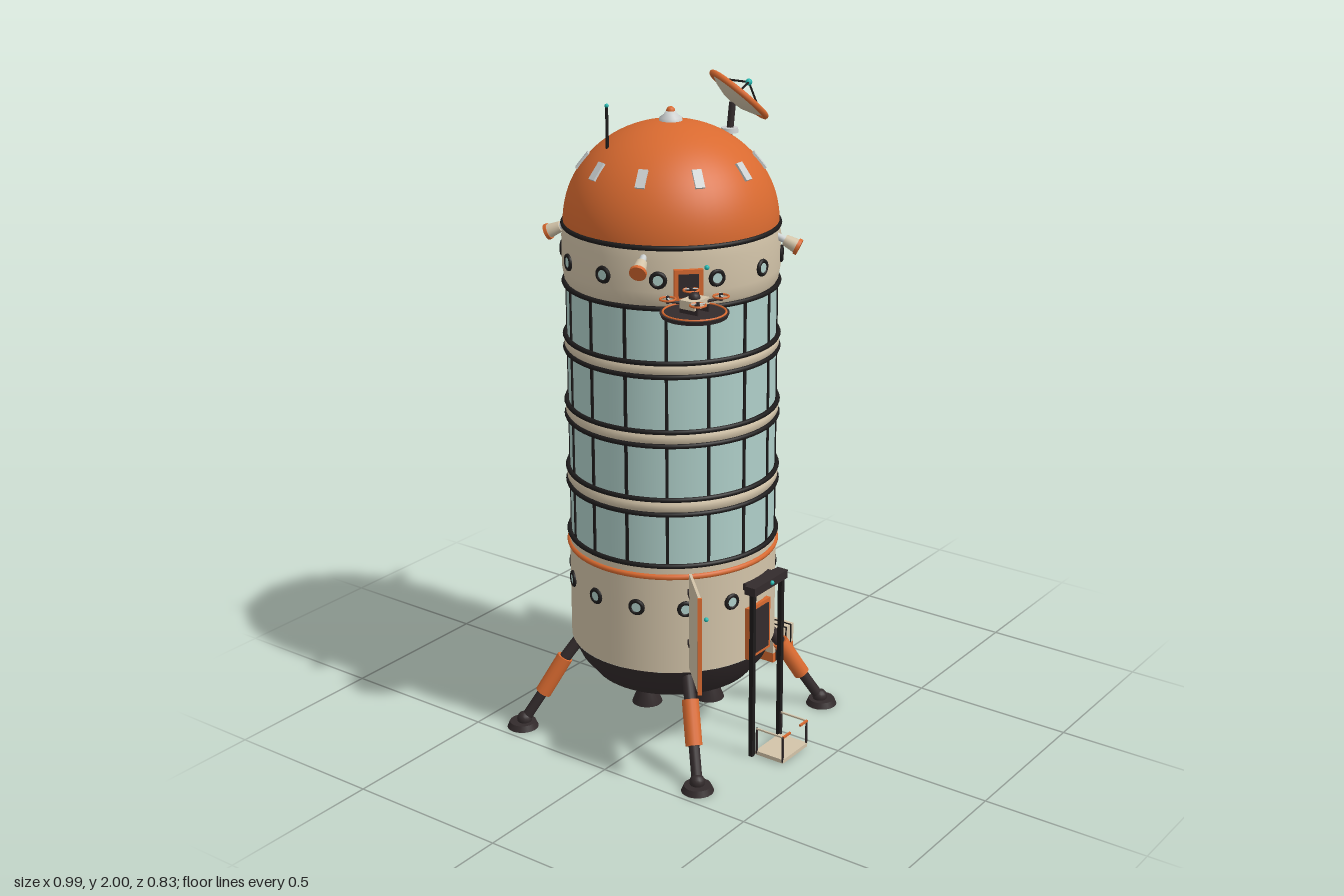
import * as THREE from 'three';

const mat = (name, color, side = THREE.FrontSide) => {
  const m = new THREE.MeshStandardMaterial({ color, side });
  m.name = name;
  return m;
};
const V = (x, y, z) => new THREE.Vector3(x, y, z);

export function createModel() {
  const orange = mat('orange paint', 0xd96a30);
  const cream = mat('cream hull', 0xd3c4a9, THREE.DoubleSide);
  const dark = mat('dark metal', 0x332b2c);
  const black = mat('black trim', 0x1d1b1b);
  const glass = mat('pale glass', 0xafcfc9);
  const grey = mat('light grey', 0xccd0d0);
  const cyan = mat('cyan light', 0x22b8b0);

  const model = new THREE.Group();
  model.name = 'towerBase';
  const group = (parent, name, x = 0, y = 0, z = 0) => {
    const g = new THREE.Group();
    g.name = name;
    g.position.set(x, y, z);
    parent.add(g);
    return g;
  };
  const add = (parent, name, geo, m, x = 0, y = 0, z = 0, rx = 0) => {
    const mesh = new THREE.Mesh(geo, m);
    mesh.name = name;
    mesh.position.set(x, y, z);
    mesh.rotation.x = rx;
    parent.add(mesh);
    return mesh;
  };
  const box = (w, h, d) => new THREE.BoxGeometry(w, h, d);
  const cyl = (r1, r2, h, n = 20) => new THREE.CylinderGeometry(r1, r2, h, n);
  const lathe = (pts, n = 64) => new THREE.LatheGeometry(pts.map(p => new THREE.Vector2(...p)), n);
  const ball = r => new THREE.SphereGeometry(r, 14, 10);
  const ring = (r, t, n = 64) => new THREE.TorusGeometry(r, t, 8, n);
  const strut = (parent, name, a, b, r1, r2, m) => {
    const mesh = add(parent, name, cyl(r2, r1, a.distanceTo(b), 14), m);
    mesh.position.copy(a).lerp(b, 0.5);
    mesh.quaternion.setFromUnitVectors(V(0, 1, 0), b.clone().sub(a).normalize());
    return mesh;
  };
  const flat = Math.PI / 2, deg = Math.PI / 180;

  const tower = group(model, 'tower', -0.103, 0, -0.04);
  // A group turned about the tower axis, with +z pointing outward
  const radial = (name, degrees) => {
    const g = group(tower, name);
    g.rotation.y = degrees * deg;
    return g;
  };

  // Hull
  add(tower, 'engineSkirt', lathe([[0, 0.185], [0.225, 0.185], [0.245, 0.195], [0.285, 0.245], [0.311, 0.3]]), dark);
  add(tower, 'lowerHull', cyl(0.31, 0.31, 0.34, 64), cream, 0, 0.47, 0);
  add(tower, 'orangeBand', ring(0.309, 0.009), orange, 0, 0.606, 0, flat);
  add(tower, 'glassCore', cyl(0.304, 0.304, 0.78, 64), glass, 0, 1.025, 0);
  add(tower, 'upperHull', lathe([[0.3, 1.41], [0.309, 1.425], [0.315, 1.46], [0.315, 1.55], [0.308, 1.59]]), cream);
  const dome = add(tower, 'dome', new THREE.SphereGeometry(0.31, 64, 24, 0, Math.PI * 2, 0, flat), orange, 0, 1.588, 0);
  dome.scale.y = 0.287 / 0.31;
  for (const y of [0.64, 0.8, 0.845, 1.008, 1.05, 1.213, 1.253, 1.412, 1.583])
    add(tower, 'trimRing', ring(0.31, 0.0075), black, 0, y, 0, flat);
  for (const y of [0.8225, 1.029, 1.233])
    add(tower, 'floorBand', lathe([[0.304, y - 0.022], [0.313, y - 0.008], [0.313, y + 0.008], [0.304, y + 0.022]]), cream);
  for (let i = 0; i < 16; i++)
    add(radial('mullionHolder', 11.25 + i * 22.5), 'mullion', box(0.009, 0.77, 0.01), black, 0, 1.025, 0.303);

  // Portholes
  const porthole = (angle, y, r) => {
    const g = radial('porthole', angle);
    add(g, 'portholeRing', ring(0.019, 0.0065, 20), black, 0, y, r);
    add(g, 'portholeGlass', cyl(0.018, 0.018, 0.008), glass, 0, y, r, flat);
  };
  for (let i = 0; i < 12; i++) porthole(i * 30, 1.495, 0.316);
  for (let i = 0; i < 13; i++) porthole(20 + i * 26.67, 0.505, 0.311);

  // Dome skylights, beacon and aerial
  for (let i = 0; i < 10; i++)
    add(radial('skylightHolder', i * 36), 'skylight', box(0.027, 0.056, 0.009), grey, 0, 1.759, 0.25, -38.5 * deg);
  add(tower, 'beaconBase', lathe([[0.034, 1.868], [0.032, 1.882], [0.02, 1.89], [0.014, 1.9], [0, 1.903]], 24), grey);
  add(tower, 'beacon', ball(0.013), orange, 0, 1.9, 0);
  add(model, 'aerial', cyl(0.004, 0.005, 0.12, 8), black, -0.272, 1.87, -0.135);
  add(model, 'aerialTip', ball(0.006), cyan, -0.272, 1.93, -0.135);

  // Dish
  add(model, 'dishFoot', cyl(0.024, 0.026, 0.014), grey, 0.05, 1.832, 0.055);
  strut(model, 'dishMast', V(0.05, 1.82, 0.055), V(0.06, 1.91, 0.058), 0.01, 0.01, dark);
  const dish = group(model, 'dish', 0.077, 1.93, 0.068);
  dish.quaternion.setFromUnitVectors(V(0, 1, 0), V(0.55, 0.75, 0.38).normalize());
  add(dish, 'dishBowl', lathe([[0, -0.03], [0.035, -0.026], [0.07, -0.015], [0.097, 0]], 40), cream);
  add(dish, 'dishRim', ring(0.097, 0.009, 40), orange, 0, 0, 0, flat);
  for (let i = 0; i < 3; i++) {
    const a = Math.PI + i * 120 * deg;
    strut(dish, 'dishStrut', V(Math.sin(a) * 0.095, 0, Math.cos(a) * 0.095), V(0, 0.045, 0), 0.003, 0.003, black);
  }
  add(dish, 'dishReceiver', ball(0.01), cyan, 0, 0.045, 0);

  // Floodlights around the upper hull
  for (let i = 0; i < 4; i++) {
    const g = group(radial('floodlightHolder', 22.5 + i * 90), 'floodlight', 0, 1.54, 0.345);
    g.rotation.x = 25 * deg;
    add(g, 'lampBracket', cyl(0.01, 0.01, 0.05, 12), grey, 0, 0, -0.02, flat);
    add(g, 'lampBody', cyl(0.021, 0.016, 0.04), cream, 0, 0, 0.005, flat);
    add(g, 'lampRim', cyl(0.024, 0.024, 0.01), orange, 0, 0, 0.027, flat);
  }

  // Landing legs
  for (let i = 0; i < 4; i++) {
    const g = radial('leg', 45 + i * 90);
    strut(g, 'legTop', V(0, 0.29, 0.285), V(0, 0.21, 0.345), 0.018, 0.018, dark);
    strut(g, 'legSleeve', V(0, 0.225, 0.335), V(0, 0.11, 0.405), 0.025, 0.025, orange);
    strut(g, 'legPiston', V(0, 0.12, 0.4), V(0, 0.025, 0.462), 0.016, 0.016, dark);
    add(g, 'ankle', ball(0.023), dark, 0, 0.025, 0.465);
    add(g, 'foot', cyl(0.04, 0.048, 0.018, 24), dark, 0, 0.009, 0.47);
  }

  // Engine nozzles
  for (const [x, z] of [[0, 0], [1, 0], [-1, 0], [0, 1], [0, -1]])
    add(tower, 'nozzle', lathe([[0, 0.125], [0.038, 0.105], [0.046, 0.105], [0.03, 0.145], [0.021, 0.19]], 24), dark, x * 0.135, 0, z * 0.135);

  // Side radiator panels
  for (const angle of [-45, 135]) {
    const g = radial('sidePanel', angle);
    add(g, 'panel', box(0.008, 0.3, 0.165), cream, 0, 0.48, 0.425);
    add(g, 'panelEdge', box(0.012, 0.3, 0.008), orange, 0, 0.48, 0.51);
    for (const y of [0.4, 0.56]) add(g, 'panelHinge', box(0.008, 0.015, 0.045), dark, 0, y, 0.325);
  }

  // Doors: orange frame around a dark leaf
  const door = (angle, y, w, h, r) => {
    const g = radial('door', angle);
    add(g, 'doorFrame', box(w, h, 0.03), orange, 0, y, r);
    add(g, 'doorLeaf', box(w - 0.024, h - 0.024, 0.008), dark, 0, y, r + 0.015);
    return g;
  };
  door(0, 0.385, 0.11, 0.165, 0.305);
  door(-45, 1.482, 0.08, 0.09, 0.312);

  // Front lift
  const lift = group(model, 'lift', -0.103, 0, 0);
  add(lift, 'liftBeam', box(0.172, 0.026, 0.036), dark, 0, 0.542, 0.302);
  add(lift, 'liftBeamArm', box(0.13, 0.02, 0.05), dark, 0, 0.54, 0.275);
  add(lift, 'liftLight', ball(0.007), cyan, 0, 0.545, 0.322);
  add(lift, 'liftFloor', box(0.132, 0.012, 0.1), cream, 0, 0.01, 0.363);
  for (const s of [-1, 1]) {
    add(lift, 'liftRail', box(0.014, 0.54, 0.014), black, s * 0.074, 0.27, 0.305);
    for (const z of [0.317, 0.41]) add(lift, 'railPost', box(0.005, 0.085, 0.005), dark, s * 0.064, 0.05, z);
    add(lift, 'sideRail', box(0.005, 0.005, 0.096), cream, s * 0.064, 0.09, 0.363);
    add(lift, 'frontRail', box(0.038, 0.006, 0.006), orange, s * 0.046, 0.09, 0.411);
  }

  // Louvred vent
  const vent = radial('vent', 90);
  add(vent, 'ventBack', box(0.15, 0.15, 0.03), black, 0, 0.39, 0.3);
  for (const s of [-1, 1]) {
    add(vent, 'ventSide', box(0.01, 0.162, 0.036), orange, s * 0.077, 0.39, 0.303);
    add(vent, 'ventEdge', box(0.162, 0.01, 0.036), orange, 0, 0.39 + s * 0.077, 0.303);
  }
  for (let i = 0; i < 7; i++) add(vent, 'ventSlat', box(0.142, 0.009, 0.01), cream, 0, 0.33 + i * 0.02, 0.315, 0.5);

  // Small marker lights
  for (const [angle, y, r] of [[105.5, 0.467, 0.322], [-36, 0.47, 0.322], [-36, 1.53, 0.325]])
    add(radial('markerHolder', angle), 'markerLight', ball(0.007), cyan, 0, y, r);

  // Crane with hanging cable
  const crane = group(model, 'crane', 0, 0, -0.04);
  add(crane, 'craneMount', box(0.03, 0.06, 0.04), dark, 0.215, 0.55, 0);
  const pts = [V(0.215, 0.568, 0), V(0.285, 0.615, 0), V(0.435, 0.615, 0)];
  strut(crane, 'craneArm', pts[0], pts[1], 0.012, 0.011, orange);
  add(crane, 'craneElbow', ball(0.012), orange, 0.285, 0.615, 0);
  strut(crane, 'craneBoom', pts[1], pts[2], 0.011, 0.009, orange);
  add(crane, 'cranePulley', ball(0.012), dark, 0.435, 0.612, 0);
  add(crane, 'craneCable', cyl(0.003, 0.003, 0.5, 8), black, 0.435, 0.36, 0);
  add(crane, 'craneHook', cyl(0.006, 0.012, 0.02, 10), dark, 0.435, 0.107, 0);

  // Strapped cargo crates
  for (const [x, y, z] of [[0.43, 0, -0.037], [0.427, 0, -0.183], [0.427, 0, -0.297], [0.427, 0.1, -0.243]]) {
    const g = group(model, 'crate', x, y, z);
    add(g, 'crateBase', box(0.12, 0.033, 0.102), orange, 0, 0.0165, 0);
    add(g, 'crateTop', box(0.12, 0.065, 0.102), cream, 0, 0.0655, 0);
    for (const s of [-0.042, -0.014, 0.014, 0.042])
      add(g, 'crateStrap', box(0.005, 0.098, 0.107), black, s, 0.0515, 0);
  }

  // Drone landing pad
  const pad = group(model, 'dronePad', -0.4, 0, 0.258);
  add(pad, 'padDeck', cyl(0.095, 0.09, 0.012, 40), dark, 0, 1.43, 0);
  add(pad, 'padRing', ring(0.086, 0.003, 40), orange, 0, 1.437, 0, flat);
  strut(pad, 'padSupport', V(0.05, 1.425, -0.05), V(0.1, 1.425, -0.1), 0.012, 0.012, dark);
  const drone = group(pad, 'drone', 0, 1.462, 0);
  add(drone, 'droneBody', box(0.07, 0.024, 0.05), cream);
  add(drone, 'droneCap', ball(0.016), dark, 0, 0.014, 0);
  for (const sx of [-1, 1]) {
    add(drone, 'droneSkid', box(0.006, 0.02, 0.06), dark, sx * 0.025, -0.016, 0);
    for (const sz of [-1, 1]) {
      const x = sx * 0.053, z = sz * 0.05;
      strut(drone, 'droneArm', V(sx * 0.02, 0, sz * 0.015), V(x, 0.008, z), 0.004, 0.004, dark);
      add(drone, 'rotorGuard', ring(0.021, 0.003, 24), orange, x, 0.014, z, flat);
      add(drone, 'rotorHub', cyl(0.005, 0.005, 0.02, 10), dark, x, 0.012, z);
      add(drone, 'rotorBlade', box(0.038, 0.002, 0.005), grey, x, 0.018, z).rotation.y = sx * sz * 0.8;
    }
  }
  return model;
}
